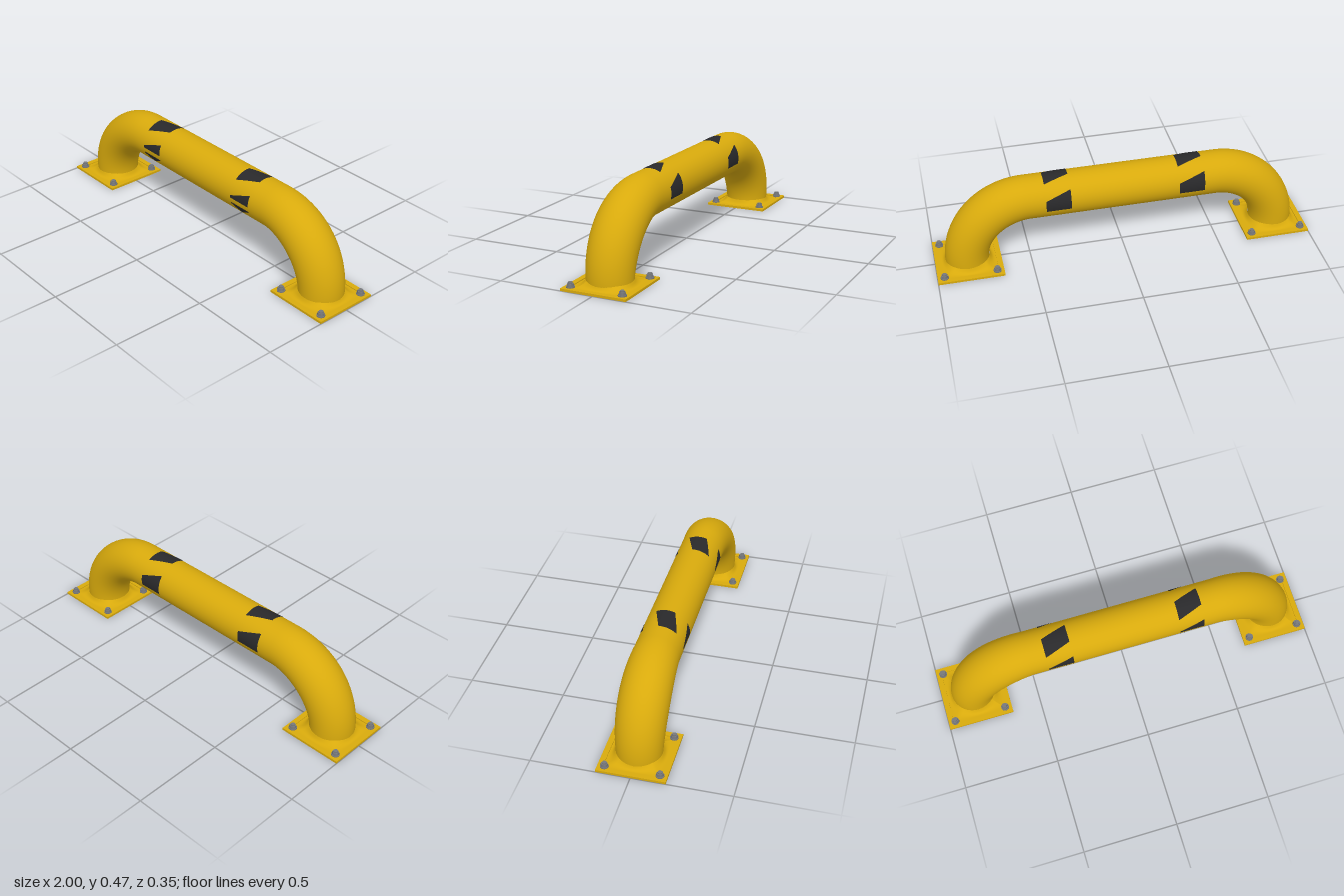
import * as THREE from 'three';

const yellow = new THREE.MeshStandardMaterial({ color: 0xd8aa0c, side: THREE.DoubleSide });
yellow.name = 'safetyYellow';
const black = new THREE.MeshStandardMaterial({ color: 0x29292b });
black.name = 'stripeBlack';
const steel = new THREE.MeshStandardMaterial({ color: 0x77797c });
steel.name = 'boltSteel';

const R = 0.115, AXIS_Y = 0.358, BEND = 0.33, BEND_X = 0.5, BEND_Y = AXIS_Y - BEND, FOOT_X = BEND_X + BEND;

// Centreline: short foot, quarter bend, straight rail, quarter bend, foot
class RailCurve extends THREE.Curve {
  getPoint(t, target = new THREE.Vector3()) {
    const foot = BEND_Y - 0.012, arc = BEND * Math.PI / 2;
    const half = foot + arc + BEND_X;
    const s = (t * 2 - 1) * half, d = Math.abs(s), side = Math.sign(s);
    if (d <= BEND_X) return target.set(s, AXIS_Y, 0);
    if (d <= BEND_X + arc) {
      const a = (d - BEND_X) / BEND;
      return target.set(side * (BEND_X + BEND * Math.sin(a)), BEND_Y + BEND * Math.cos(a), 0);
    }
    return target.set(side * FOOT_X, BEND_Y - (d - BEND_X - arc), 0);
  }
}

// Grid surface from a function of (u, v), both 0..1
function surface(nu, nv, point) {
  const pos = [], idx = [];
  for (let i = 0; i <= nu; i++) for (let j = 0; j <= nv; j++) pos.push(...point(i / nu, j / nv));
  for (let i = 0; i < nu; i++) for (let j = 0; j < nv; j++) {
    const a = i * (nv + 1) + j, c = a + nv + 1;
    idx.push(a, a + 1, c, a + 1, c + 1, c);
  }
  const g = new THREE.BufferGeometry();
  g.setAttribute('position', new THREE.Float32BufferAttribute(pos, 3));
  g.setIndex(idx);
  g.computeVertexNormals();
  return g;
}

function add(parent, geometry, material, name) {
  const mesh = new THREE.Mesh(geometry, material);
  mesh.name = name;
  parent.add(mesh);
  return mesh;
}

function buildRail() {
  const curve = new RailCurve();
  curve.arcLengthDivisions = 800;
  const g = new THREE.TubeGeometry(curve, 120, R, 48, false);
  // The pipe swells sideways through each bend
  const p = g.attributes.position;
  for (let i = 0; i < p.count; i++) {
    const dx = Math.abs(p.getX(i)) - BEND_X, dy = p.getY(i) - BEND_Y;
    if (dx > 0 && dy > 0) p.setZ(i, p.getZ(i) * (1 + 0.1 * Math.sin(2 * Math.atan2(dy, dx))));
  }
  return g;
}

// Angles run from the top of the pipe towards the front, in degrees:
// [start and end at the -x edge, start and end at the +x edge]
const PATCHES = [
  [-5, 44, -29, 20],
  [86, 93, 62, 93],
  [-105, -50, -105, -74],
  [150, 195, 160, 182],
];

function buildStripes(x0, x1) {
  const group = new THREE.Group();
  const onPipe = (x, deg) => {
    const a = THREE.MathUtils.degToRad(deg), r = R + 0.0015;
    return [x, AXIS_Y + r * Math.cos(a), r * Math.sin(a)];
  };
  const { lerp } = THREE.MathUtils;
  for (const [a0, a1, b0, b1] of PATCHES) {
    add(group, surface(8, 16, (u, v) =>
      onPipe(lerp(x0, x1, u), lerp(lerp(a0, b0, u), lerp(a1, b1, u), v))), black, 'stripe');
  }
  // Downward triangle below the front stripe
  add(group, surface(16, 8, (u, v) =>
    onPipe(lerp(x0, x1, u), lerp(106, 109 + 17 * (1 - Math.abs(2 * u - 1)), v))), black, 'stripeTriangle');
  return group;
}

function buildFoot() {
  const foot = new THREE.Group();
  const H = 0.173, hole = 0.145;

  // Square flange rim, open underneath
  const shape = new THREE.Shape();
  shape.moveTo(-H, -H).lineTo(H, -H).lineTo(H, H).lineTo(-H, H).closePath();
  const opening = new THREE.Path();
  opening.moveTo(-hole, -hole).lineTo(-hole, hole).lineTo(hole, hole).lineTo(hole, -hole).closePath();
  shape.holes.push(opening);
  const rim = new THREE.ExtrudeGeometry(shape, { depth: 0.012, bevelEnabled: false });
  rim.rotateX(-Math.PI / 2);
  add(foot, rim, yellow, 'flangeRim');

  // Shallow web rising from the square opening to the round pipe
  const web = surface(64, 6, (u, v) => {
    const a = u * Math.PI * 2 + Math.PI / 4, c = Math.cos(a), s = Math.sin(a);
    const k = hole / Math.max(Math.abs(c), Math.abs(s));
    const r = THREE.MathUtils.lerp(k, R - 0.001, v);
    return [r * c, 0.007 + 0.028 * v ** 3, r * s];
  });
  add(foot, web, yellow, 'flangeWeb');

  // Corner bolts
  for (const x of [-1, 1]) for (const z of [-1, 1]) {
    const bolt = new THREE.Group();
    bolt.name = 'bolt';
    bolt.position.set(x * 0.137, 0, z * 0.137);
    add(bolt, new THREE.CylinderGeometry(0.021, 0.021, 0.006, 24), steel, 'washer').position.y = 0.015;
    add(bolt, new THREE.CylinderGeometry(0.017, 0.019, 0.014, 6), steel, 'nut').position.y = 0.025;
    add(bolt, new THREE.CylinderGeometry(0.011, 0.012, 0.036, 16), steel, 'stud').position.y = 0.021;
    foot.add(bolt);
  }
  return foot;
}

export function createModel() {
  const model = new THREE.Group();
  model.name = 'guardRail';
  add(model, buildRail(), yellow, 'bentPipe');

  for (const [name, x0, x1] of [['rightStripes', -0.42, -0.285], ['leftStripes', 0.285, 0.415]]) {
    const stripes = buildStripes(x0, x1);
    stripes.name = name;
    model.add(stripes);
  }
  for (const [name, side] of [['rightFoot', -1], ['leftFoot', 1]]) {
    const foot = buildFoot();
    foot.name = name;
    foot.position.x = side * (1 - 0.173);
    model.add(foot);
  }
  return model;
}
